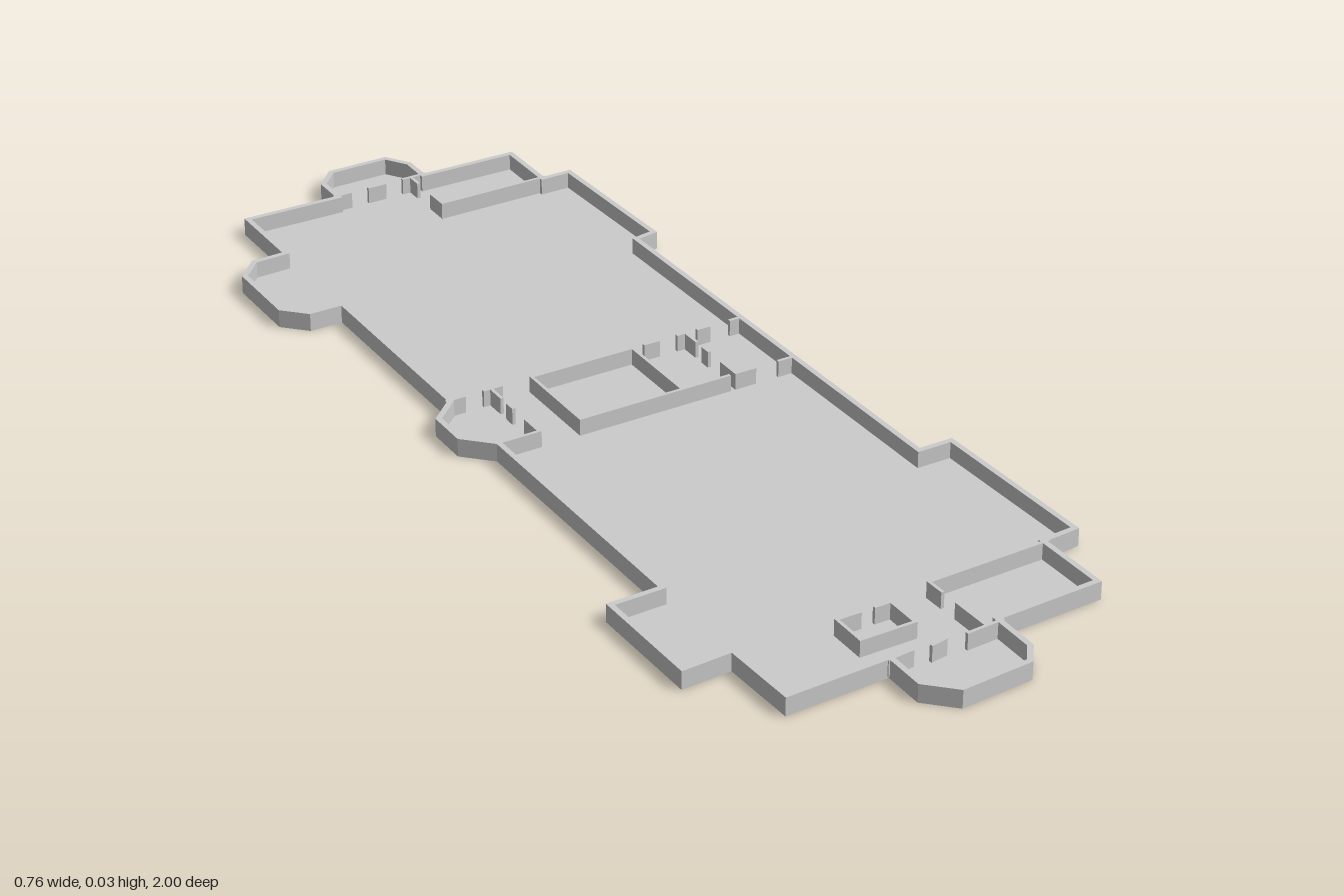
import * as THREE from 'three';

const HEIGHT = 0.033, FLOOR = 0.003, WALL = 0.01, THIN = 0.006;

// Building outline as [x, z], starting at the rear bay
const OUTLINE = [
  [-0.10, -0.903], [-0.10, -0.96], [-0.063, -1], [0.053, -1], [0.083, -0.955], [0.083, -0.903],
  [0.265, -0.90], [0.265, -0.78], [0.32, -0.78], [0.33, -0.485], [0.29, -0.478],
  [0.305, 0.385], [0.368, 0.385], [0.38, 0.718], [0.315, 0.723], [0.318, 0.862],
  [0.125, 0.87], [0.125, 0.953], [0.098, 0.99], [-0.035, 1], [-0.083, 0.953], [-0.083, 0.877],
  [-0.27, 0.884], [-0.275, 0.742], [-0.365, 0.747], [-0.368, 0.53], [-0.275, 0.528],
  [-0.278, 0.025], [-0.325, -0.022], [-0.325, -0.098], [-0.28, -0.14],
  [-0.28, -0.525], [-0.34, -0.525], [-0.38, -0.565], [-0.38, -0.71], [-0.34, -0.753],
  [-0.28, -0.755], [-0.28, -0.907],
].map(([x, z]) => new THREE.Vector2(x, z));

// Mitred inward offset of a closed loop
function inset(points, d) {
  const n = points.length;
  const normal = (a, b) => new THREE.Vector2(a.y - b.y, b.x - a.x).normalize();
  return points.map((p, i) => {
    const n1 = normal(points[(i + n - 1) % n], p);
    const n2 = normal(p, points[(i + 1) % n]);
    const m = n1.clone().add(n2);
    return p.clone().addScaledVector(m, d / (1 + n1.dot(n2)));
  });
}

// Extrude a plan shape upward from y = 0
function slab(shape, height) {
  const g = new THREE.ExtrudeGeometry(shape, { depth: height, bevelEnabled: false });
  return g.rotateX(Math.PI / 2).translate(0, height, 0);
}

export function createModel() {
  const model = new THREE.Group();
  model.name = 'floorPlan';
  const material = new THREE.MeshStandardMaterial({ color: 0xcccccc, flatShading: true });
  const add = (geometry, name, parent = model) => {
    const mesh = new THREE.Mesh(geometry, material);
    mesh.name = name;
    parent.add(mesh);
    return mesh;
  };
  const room = (name) => {
    const group = new THREE.Group();
    group.name = name;
    model.add(group);
    return group;
  };
  // Straight partition between two plan points
  const wall = (parent, x1, z1, x2, z2) => {
    const dx = x2 - x1, dz = z2 - z1;
    const g = new THREE.BoxGeometry(Math.hypot(dx, dz) + THIN, HEIGHT - FLOOR, THIN);
    const mesh = add(g, 'partition', parent);
    mesh.position.set((x1 + x2) / 2, (HEIGHT + FLOOR) / 2, (z1 + z2) / 2);
    mesh.rotation.y = -Math.atan2(dz, dx);
  };

  // Floor and perimeter wall
  add(slab(new THREE.Shape(OUTLINE), FLOOR), 'floor');
  const ring = new THREE.Shape(OUTLINE);
  ring.holes.push(new THREE.Path(inset(OUTLINE, WALL)));
  add(slab(ring, HEIGHT), 'outerWall');

  // Rear rooms: bay doorway and corner room
  const rear = room('rearRooms');
  for (const [a, b] of [[-0.1, -0.07], [-0.03, 0.0], [0.04, 0.083]]) wall(rear, a, -0.903, b, -0.903);
  wall(rear, 0.055, -0.90, 0.055, -0.875);
  wall(rear, 0.055, -0.82, 0.055, -0.78);
  wall(rear, 0.055, -0.78, 0.265, -0.78);

  // Central core: closed rooms with pierced corridors each side
  const core = room('centralCore');
  for (const [a, b] of [[-0.28, -0.25], [-0.21, -0.18], [-0.12, 0.075], [0.1, 0.125], [0.165, 0.18],
    [0.205, 0.225], [0.27, 0.29]]) wall(core, a, -0.14, b, -0.14);
  for (const [a, b] of [[-0.275, -0.2], [-0.12, 0.165], [0.18, 0.215], [0.265, 0.29]]) wall(core, a, 0.023, b, 0.023);
  for (const x of [-0.12, 0.075]) wall(core, x, -0.14, x, 0.023);
  for (const x of [-0.198, 0.18]) {
    for (const [a, b] of [[-0.14, -0.105], [-0.08, -0.065], [-0.02, 0.023]]) wall(core, x, a, x, b);
  }

  // Front rooms: side room and bay doorway
  const front = room('frontRooms');
  wall(front, 0.09, 0.728, 0.318, 0.722);
  wall(front, 0.09, 0.728, 0.091, 0.76);
  wall(front, 0.093, 0.80, 0.095, 0.87);
  for (const [a, b] of [[-0.083, -0.04], [-0.005, 0.02], [0.06, 0.125]]) wall(front, a, 0.876, b, 0.872);

  // Small enclosure near the front bay
  const box = room('frontEnclosure');
  wall(box, -0.09, 0.745, -0.09, 0.81);
  wall(box, 0.008, 0.745, 0.008, 0.81);
  wall(box, -0.09, 0.81, 0.008, 0.81);
  wall(box, -0.09, 0.745, -0.05, 0.745);
  wall(box, -0.02, 0.745, 0.008, 0.745);

  return model;
}
